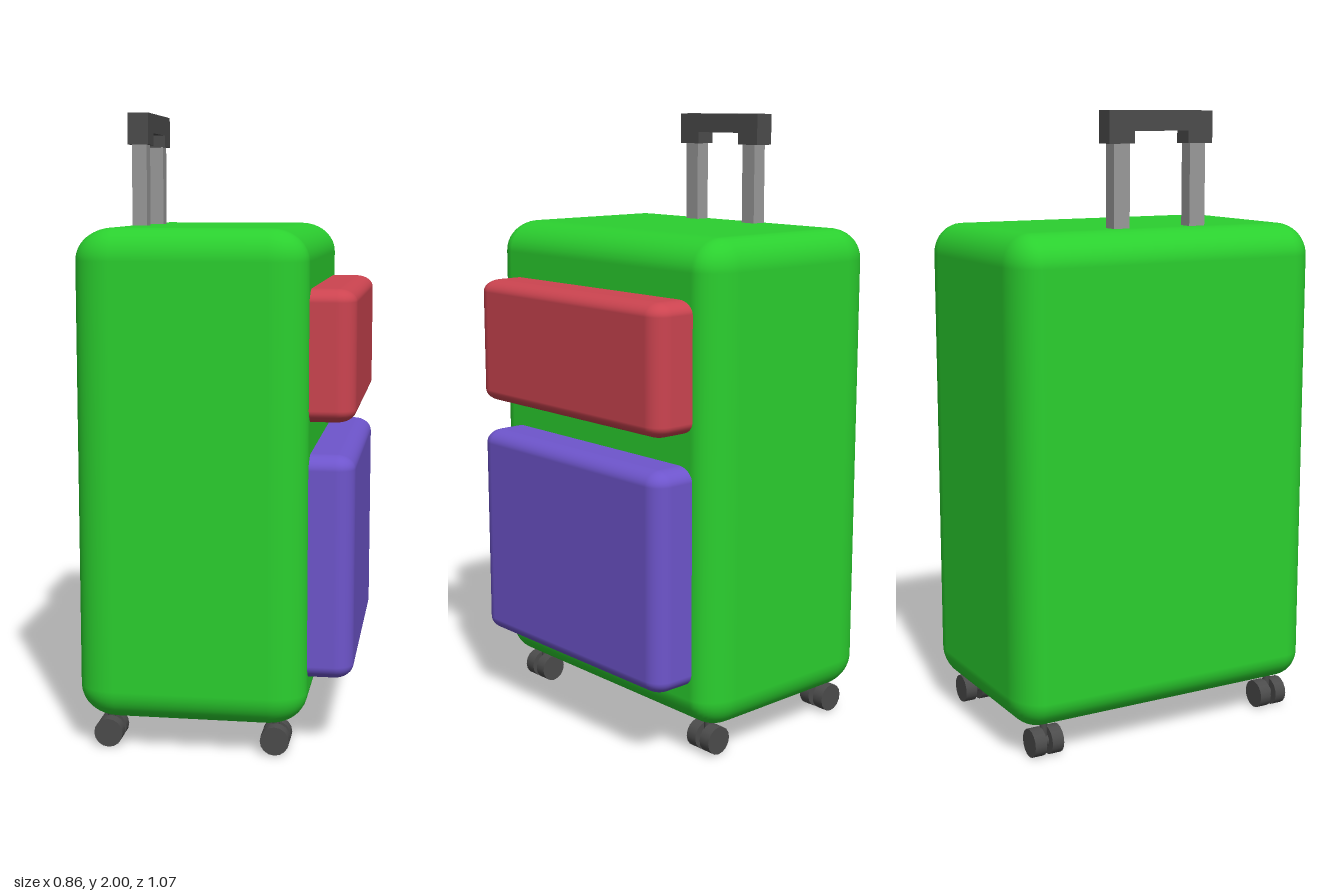
import * as THREE from 'three';
import { RoundedBoxGeometry } from 'three/addons/geometries/RoundedBoxGeometry.js';

const mat = (color) => new THREE.MeshStandardMaterial({ color });

export function createModel() {
  const model = new THREE.Group();
  const green = mat(0x2bd02f), red = mat(0xcc4450), purple = mat(0x6e55cc);
  const dark = mat(0x4c4c4c), metal = mat(0x999999);

  const add = (parent, name, geometry, material, x = 0, y = 0, z = 0) => {
    const mesh = new THREE.Mesh(geometry, material);
    mesh.name = name;
    mesh.position.set(x, y, z);
    parent.add(mesh);
    return mesh;
  };

  // Soft box between two corners, with its own rounding along each axis
  const softBox = (name, material, [x0, y0, z0], [x1, y1, z1], [rx, ry, rz]) => {
    const geo = new RoundedBoxGeometry((x1 - x0) / rx, (y1 - y0) / ry, (z1 - z0) / rz, 5, 1);
    geo.scale(rx, ry, rz);
    return add(model, name, geo, material, (x0 + x1) / 2, (y0 + y1) / 2, (z0 + z1) / 2);
  };

  // Case and its two outer pockets
  softBox('caseBody', green, [-0.432, 0.1, -0.535], [0.29, 1.643, 0.535], [0.12, 0.1, 0.09]);
  softBox('upperPocket', red, [0.1, 1.05, -0.453], [0.43, 1.46, 0.453], [0.06, 0.04, 0.06]);
  softBox('lowerPocket', purple, [0.1, 0.24, -0.453], [0.43, 0.95, 0.453], [0.06, 0.045, 0.06]);

  // Pull handle: a U-shaped grip on two telescopic rods
  const handle = new THREE.Group();
  handle.name = 'pullHandle';
  handle.position.set(-0.289, 0, 0.008);
  model.add(handle);
  const outline = [[-0.184, 1.9], [-0.096, 1.9], [-0.096, 1.938], [0.096, 1.938],
    [0.096, 1.9], [0.184, 1.9], [0.184, 2], [-0.184, 2]];
  const grip = new THREE.ExtrudeGeometry(
    new THREE.Shape(outline.map(([a, b]) => new THREE.Vector2(a, b))),
    { depth: 0.066, bevelEnabled: false });
  grip.translate(0, 0, -0.033).rotateY(Math.PI / 2);
  add(handle, 'grip', grip, dark);
  for (const s of [-1, 1]) {
    add(handle, 'rod', new THREE.BoxGeometry(0.048, 0.36, 0.056), metal, 0, 1.74, s * 0.136);
  }

  // Four twin-wheel casters
  for (const x of [-0.342, 0.19]) {
    for (const z of [-0.426, 0.426]) {
      const caster = new THREE.Group();
      caster.name = 'caster';
      caster.position.set(x, 0.046, z);
      model.add(caster);
      add(caster, 'stem', new THREE.CylinderGeometry(0.012, 0.012, 0.09, 10), dark, 0, 0.045, 0);
      const axle = add(caster, 'axle', new THREE.CylinderGeometry(0.02, 0.02, 0.06, 10), dark);
      axle.rotation.x = Math.PI / 2;
      for (const s of [-1, 1]) {
        const wheel = add(caster, 'wheel', new THREE.CylinderGeometry(0.046, 0.046, 0.04, 16), dark, 0, 0, s * 0.03);
        wheel.rotation.x = Math.PI / 2;
      }
    }
  }
  return model;
}
